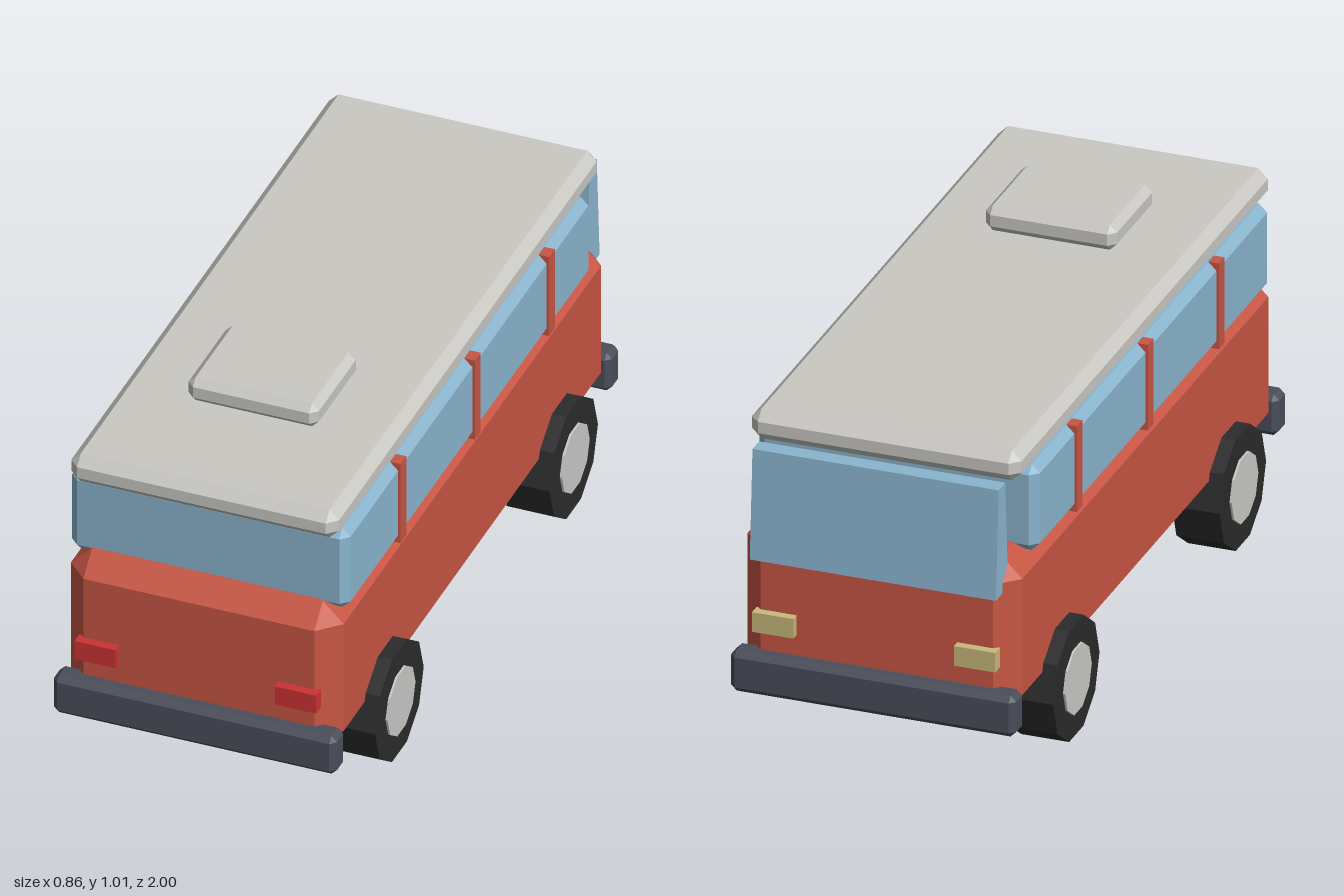
import * as THREE from 'three';
import { ConvexGeometry } from 'three/addons/geometries/ConvexGeometry.js';

const material = (name, color) => {
  const m = new THREE.MeshStandardMaterial({ color, flatShading: true });
  m.name = name;
  return m;
};

// Box between two corners with every edge cut at 45 degrees
function chamferBox(min, max, c) {
  const centre = min.map((v, i) => (v + max[i]) / 2);
  const half = min.map((v, i) => (max[i] - v) / 2);
  const points = [];
  for (const sx of [-1, 1]) for (const sy of [-1, 1]) for (const sz of [-1, 1]) {
    const sign = [sx, sy, sz];
    for (let outer = 0; outer < 3; outer++) {
      points.push(new THREE.Vector3(...sign.map((s, i) => centre[i] + s * (half[i] - (i === outer ? 0 : c)))));
    }
  }
  return new ConvexGeometry(points);
}

function box(min, max) {
  const size = min.map((v, i) => max[i] - v);
  return new THREE.BoxGeometry(...size).translate(...min.map((v, i) => v + size[i] / 2));
}

export function createModel() {
  const group = new THREE.Group();
  group.name = 'camperVan';
  const paint = material('redPaint', 0xc85644);
  const glass = material('blueGlass', 0x8ab5ce);
  const cream = material('paleRoof', 0xc9c8c3);
  const bumperGrey = material('bumperGrey', 0x4a4e5a);
  const rubber = material('rubber', 0x2b2b2b);
  const hubGrey = material('hubGrey', 0xc9c9c6);
  const lampRed = material('redLamp', 0xcc3333);
  const lampYellow = material('yellowLamp', 0xc8b97a);

  const add = (name, geometry, mat) => {
    const mesh = new THREE.Mesh(geometry, mat);
    mesh.name = name;
    group.add(mesh);
    return mesh;
  };

  // Body, window band, roof and roof hatch
  add('body', chamferBox([-0.385, 0.18, -0.96], [0.385, 0.636, 0.96], 0.059), paint);
  add('windowBand', chamferBox([-0.393, 0.61, -0.815], [0.393, 0.86, 0.895], 0.023), glass);
  add('roof', chamferBox([-0.378, 0.853, -0.915], [0.378, 0.94, 0.943], 0.027), cream);
  add('roofHatch', chamferBox([-0.184, 0.942, 0.298], [0.184, 1.015, 0.595], 0.02), cream);

  // Window posts
  for (const z of [-0.52, 0, 0.52]) for (const s of [-1, 1]) {
    add('windowPost', box([s * 0.385 - 0.015, 0.61, z - 0.02], [s * 0.385 + 0.015, 0.86, z + 0.02]), paint);
  }

  // Tapered upright screen
  const side = new THREE.Shape([[0.99, 0.547], [0.97, 0.86], [0.921, 0.86], [0.9, 0.547]]
    .map(([z, y]) => new THREE.Vector2(z, y)));
  const screen = new THREE.ExtrudeGeometry(side, { depth: 0.69, bevelEnabled: false });
  add('screen', screen.translate(0, 0, -0.345).rotateY(Math.PI / 2), glass);

  // Bumpers and lamps at both ends
  for (const s of [-1, 1]) {
    const z = s * 0.963;
    add('bumper', chamferBox([-0.4, 0.156, z - 0.037], [0.4, 0.275, z + 0.037], 0.016), bumperGrey);
    for (const x of [-0.283, 0.283]) {
      add('lamp', box([x - 0.058, 0.335, s * 0.968 - 0.017], [x + 0.058, 0.392, s * 0.968 + 0.017]),
        s > 0 ? lampRed : lampYellow);
    }
  }

  // Ten-sided wheels with hubs showing on both faces
  for (const x of [-0.358, 0.358]) for (const z of [-0.61, 0.61]) {
    const wheel = new THREE.Group();
    wheel.name = 'wheel';
    for (const [name, r, width, mat] of [['tyre', 0.17, 0.134, rubber], ['hub', 0.098, 0.146, hubGrey]]) {
      const mesh = new THREE.Mesh(new THREE.CylinderGeometry(r, r, width, 10).rotateZ(Math.PI / 2), mat);
      mesh.name = name;
      wheel.add(mesh);
    }
    wheel.position.set(x, 0.162, z);
    group.add(wheel);
  }
  return group;
}
